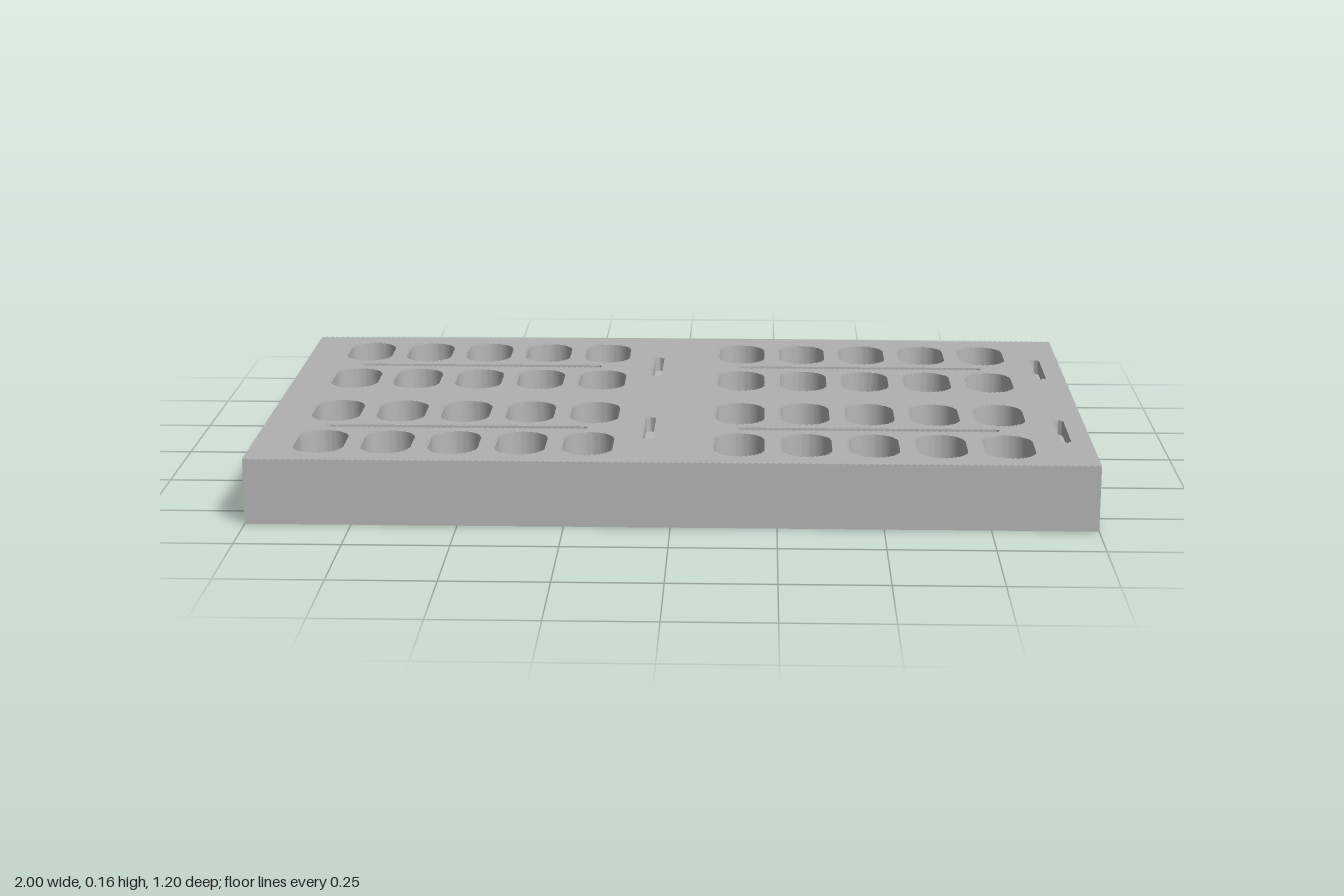
import * as THREE from 'three';
import { mergeGeometries, toCreasedNormals } from 'three/addons/utils/BufferGeometryUtils.js';

const W = 1, D = 0.6;              // half width and half depth
const TOP = 0.16, RIB = 0.003;     // overall height, rib height
const PITCH = 0.01, HALF = PITCH / 2; // rib spacing and half width
const R2 = Math.SQRT2;

// Rounded recesses: centre, half width, half depth, floor height
const pockets = [], slots = [];
for (const cx of [-0.52, 0.48]) {
  for (const z of [-0.44, -0.16, 0.16, 0.44])
    for (let i = -2; i <= 2; i++) pockets.push({ x: cx + i * 0.16, z, hw: 0.06, hd: 0.1, floor: 0.06 });
  for (const z of [-0.3, 0.3]) {
    slots.push({ x: cx - 0.01, z, hw: 0.32, hd: 0.0125, floor: 0.12 });
    slots.push({ x: cx + 0.46, z, hw: 0.0125, hd: 0.1, floor: 0.12 });
  }
}
const recesses = [...pockets, ...slots];

// Stadium outline, drawn in x and -z
function stadium(Type, { x, z, hw, hd }) {
  const s = new Type(), r = Math.min(hw, hd), y = -z;
  if (hd > hw) {
    s.absarc(x, y + hd - r, r, 0, Math.PI);
    s.absarc(x, y - hd + r, r, Math.PI, 2 * Math.PI);
  } else {
    s.absarc(x + hw - r, y, r, -Math.PI / 2, Math.PI / 2);
    s.absarc(x - hw + r, y, r, Math.PI / 2, 1.5 * Math.PI);
  }
  s.closePath();
  return s;
}

function slab(shape, height) {
  const g = new THREE.ExtrudeGeometry(shape, { depth: height, bevelEnabled: false, curveSegments: 14 });
  return g.rotateX(-Math.PI / 2);
}

// True where a rib centred at (x, z) would reach into a recess
function blocked(x, z) {
  return recesses.some(({ x: cx, z: cz, hw, hd }) => {
    const r = Math.min(hw, hd) + 0.002;
    const dx = Math.max(Math.abs(x - cx) - (hw - Math.min(hw, hd)), 0);
    const dz = Math.max(Math.abs(z - cz) - (hd - Math.min(hw, hd)), 0);
    return dx * dx + dz * dz < r * r;
  });
}

// Point at u across and v along the diagonal, trimmed to the block's outline
function diagonalPoint(u, v, y) {
  const lo = Math.max(u - W * R2, -u - D * R2);
  const hi = Math.min(u + W * R2, -u + D * R2);
  const t = THREE.MathUtils.clamp(v, lo, hi);
  return [(t - u) / R2, y, (t + u) / R2];
}

// Triangular rib from a to b: two slopes and two end caps
function addRib(positions, u, a, b) {
  const section = v => [
    diagonalPoint(u - HALF, v, TOP - RIB),
    diagonalPoint(u, v, TOP),
    diagonalPoint(u + HALF, v, TOP - RIB),
  ];
  const [la, ta, ra] = section(a), [lb, tb, rb] = section(b);
  const faces = [la, ta, tb, la, tb, lb, ta, ra, rb, ta, rb, tb, la, ra, ta, lb, tb, rb];
  for (const p of faces) positions.push(...p);
}

function ribGeometry() {
  const positions = [], step = 0.002;
  const limit = (W + D) / R2;
  for (let u = -limit + HALF; u < limit - HALF; u += PITCH) {
    let start = null;
    for (let v = -limit - PITCH; v <= limit + PITCH; v += step) {
      const x = (v - u) / R2, z = (v + u) / R2;
      const free = Math.abs(x) <= W + HALF && Math.abs(z) <= D + HALF && !blocked(x, z);
      if (free && start === null) start = v;
      if (!free && start !== null) {
        if (v - start > 0.006) addRib(positions, u, start, v - step);
        start = null;
      }
    }
  }
  const g = new THREE.BufferGeometry();
  g.setAttribute('position', new THREE.Float32BufferAttribute(positions, 3));
  g.computeVertexNormals();
  return g;
}

export function createModel() {
  const group = new THREE.Group();
  const material = new THREE.MeshStandardMaterial({ color: 0xb8b8b8 });
  const add = (name, geometry) => {
    const mesh = new THREE.Mesh(geometry, material);
    mesh.name = name;
    group.add(mesh);
  };

  // Block pierced by every recess
  const outline = new THREE.Shape([[-W, -D], [W, -D], [W, D], [-W, D]].map(p => new THREE.Vector2(...p)));
  outline.holes = recesses.map(r => stadium(THREE.Path, r));
  add('block', toCreasedNormals(slab(outline, TOP - RIB), 0.6));

  // Floors that close the recesses from below
  const floors = list => mergeGeometries(list.map(r => slab(stadium(THREE.Shape, r), r.floor)));
  add('pocketFloors', floors(pockets));
  add('slotFloors', floors(slots));

  // Fine diagonal ribs on the upper face
  add('diagonalRibs', ribGeometry());
  return group;
}
